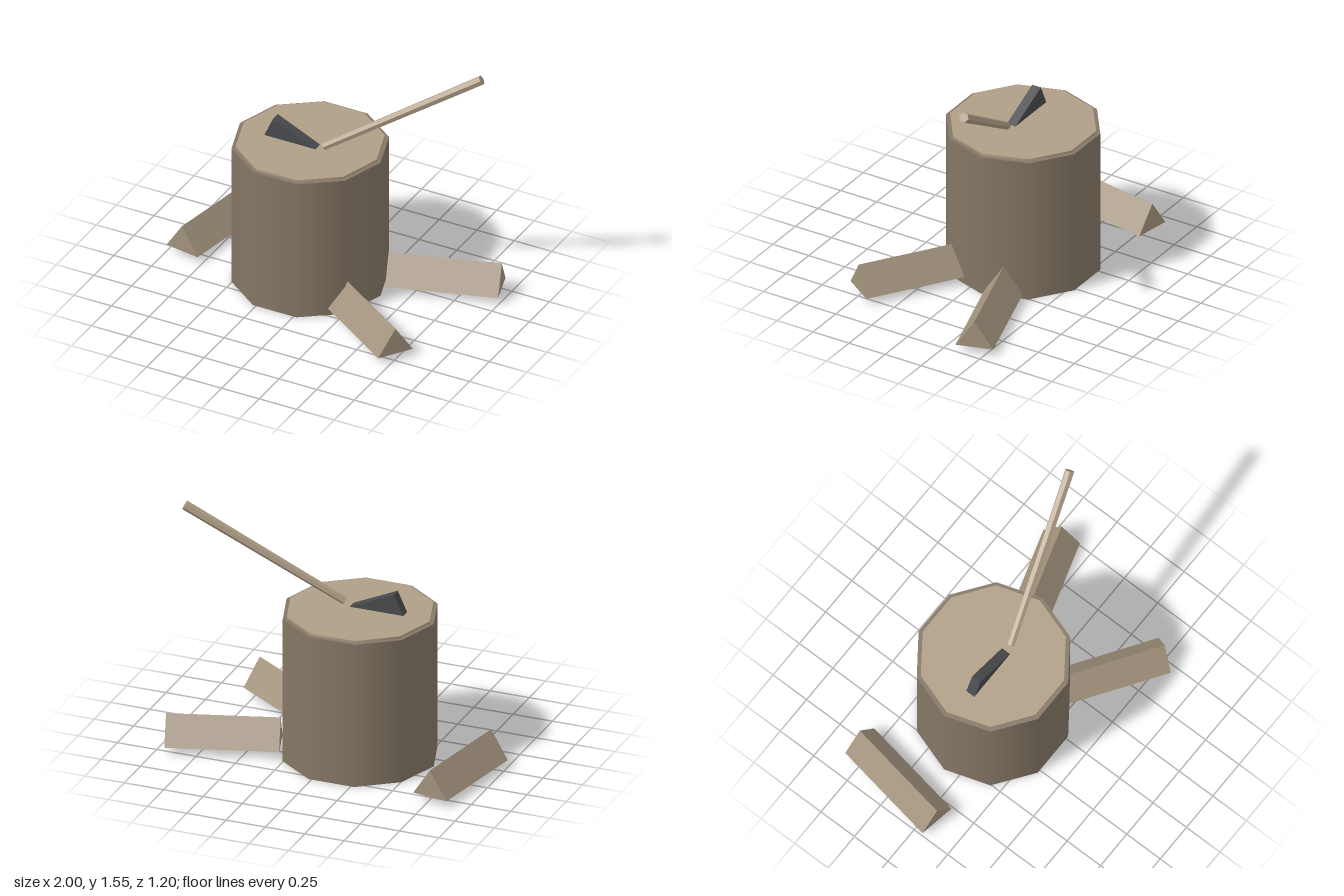
import * as THREE from 'three';

const paint = (color, flatShading = false) => new THREE.MeshStandardMaterial({ color, flatShading });

function part(parent, name, geometry, material) {
  const mesh = new THREE.Mesh(geometry, material);
  mesh.name = name;
  parent.add(mesh);
  return mesh;
}

export function createModel() {
  const model = new THREE.Group();
  model.name = 'choppingBlock';
  const bark = paint(0x857766);
  const cutWood = paint(0xb09e86);
  const splitWood = paint(0xa3937d, true);
  const handleWood = paint(0xb09e86, true);
  const steel = paint(0x484a4d, true);

  // Ten-sided stump with a slightly smaller cut face on top
  const stump = new THREE.Group();
  stump.name = 'stump';
  stump.position.set(-0.126, 0, -0.094);
  stump.rotation.y = Math.PI / 2;
  model.add(stump);
  part(stump, 'trunk', new THREE.CylinderGeometry(0.468, 0.468, 0.922, 10), bark).position.y = 0.461;
  part(stump, 'cutFace', new THREE.CylinderGeometry(0.443, 0.443, 0.035, 10), cutWood).position.y = 0.918;

  // Axe head, sunk into the cut face at an angle
  const axe = new THREE.Group();
  axe.name = 'axe';
  model.add(axe);
  const headLength = 0.34, headHeight = 0.16;
  const headGeometry = new THREE.BoxGeometry(headLength, headHeight, 0.06);
  headGeometry.translate(headLength / 2, -headHeight / 2, 0); // pivot on the upper heel
  const head = part(axe, 'axeHead', headGeometry, steel);
  head.position.set(-0.337, 1.064, -0.055);
  head.rotation.z = -0.428;

  // Six-sided handle, a little thicker at the grip
  const foot = new THREE.Vector3(-0.012, 0.953, -0.053);
  const grip = new THREE.Vector3(0.894, 1.53, -0.323);
  const axis = grip.clone().sub(foot);
  const handle = part(axe, 'axeHandle', new THREE.CylinderGeometry(0.03, 0.024, axis.length(), 6), handleWood);
  handle.position.copy(foot).add(grip).multiplyScalar(0.5);
  handle.quaternion.setFromUnitVectors(new THREE.Vector3(0, 1, 0), axis.normalize());

  // Split logs: triangular prisms lying around the stump
  const wedge = new THREE.Shape([
    new THREE.Vector2(-0.115, 0),
    new THREE.Vector2(0.115, 0),
    new THREE.Vector2(0, 0.172),
  ]);
  const logLength = 0.677;
  const logGeometry = new THREE.ExtrudeGeometry(wedge, { depth: logLength, bevelEnabled: false });
  logGeometry.translate(0, 0, -logLength / 2);
  const logs = [ // centre x, centre z, direction x, direction z
    [-0.829, -0.252, -0.17, 0.985],
    [0.642, -0.34, 0.955, -0.297],
    [0.474, 0.306, 0.83, 0.558],
  ];
  logs.forEach(([x, z, dx, dz], i) => {
    const log = part(model, `splitLog${i + 1}`, logGeometry, splitWood);
    log.position.set(x, 0.045, z);
    log.rotation.y = Math.atan2(dx, dz);
  });

  return model;
}
